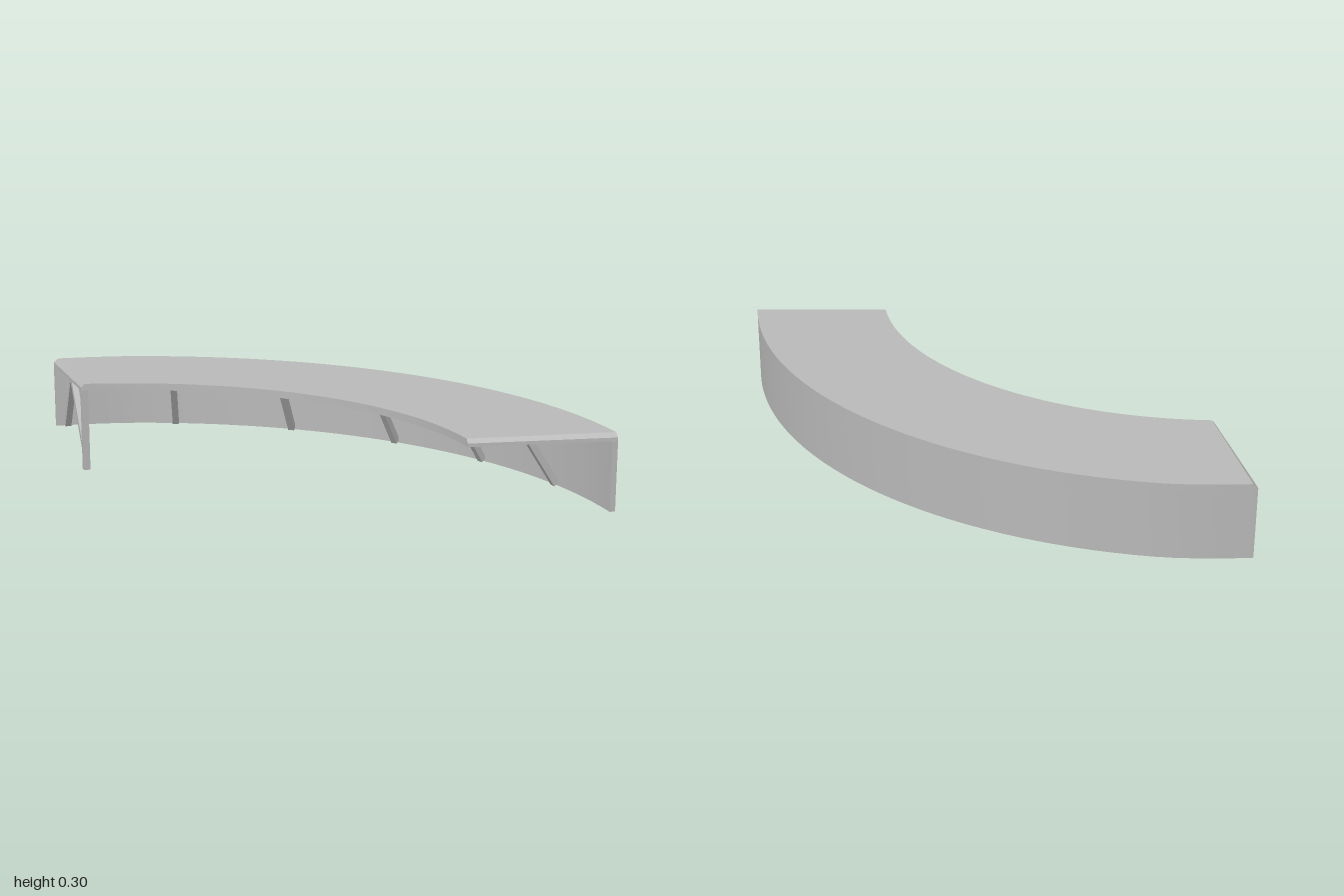
import * as THREE from 'three';
import { toCreasedNormals } from 'three/addons/utils/BufferGeometryUtils.js';

const CENTRE = { x: -0.48, z: 1.045 };
const rad = THREE.MathUtils.degToRad;
const lerp = THREE.MathUtils.lerp;

// Point on the plan arc, angle measured from straight back (-z) towards +x
const polar = (r, a, y) =>
  new THREE.Vector3(CENTRE.x + r * Math.sin(a), y, CENTRE.z - r * Math.cos(a));

// The two curved edges of the counter, t runs from its right end to its left end
const innerAt = (t, y) => polar(1.145, rad(lerp(-15.8, 64.2, t)), y);
function outerAt(t, y, inset = 0) {
  const deg = lerp(-19, 66.8, t);
  const flat = 0.015 * Math.max(0, (-9.5 - deg) / 9.5); // the curve straightens at one end
  return polar(1.61 - flat - inset, rad(deg), y);
}

// Closed sweep through four-cornered sections
function sweep(sections) {
  const pos = [];
  const tri = (...pts) => pts.forEach((p) => pos.push(p.x, p.y, p.z));
  const quad = (a, b, c, d) => { tri(a, b, c); tri(a, c, d); };
  for (let i = 0; i < sections.length - 1; i++) {
    const s = sections[i], n = sections[i + 1];
    for (let k = 0; k < 4; k++) quad(s[k], s[(k + 1) % 4], n[(k + 1) % 4], n[k]);
  }
  const first = sections[0], last = sections[sections.length - 1];
  quad(first[3], first[2], first[1], first[0]);
  quad(last[0], last[1], last[2], last[3]);
  const geo = new THREE.BufferGeometry();
  geo.setAttribute('position', new THREE.Float32BufferAttribute(pos, 3));
  return toCreasedNormals(geo, rad(25));
}

// Square bar between two points
function bar(name, from, to, width, material) {
  const mesh = new THREE.Mesh(new THREE.BoxGeometry(width, width, from.distanceTo(to)), material);
  mesh.name = name;
  mesh.position.copy(from).add(to).multiplyScalar(0.5);
  mesh.lookAt(to);
  return mesh;
}

export function createModel() {
  const model = new THREE.Group();
  model.name = 'curvedCounter';
  const grey = new THREE.MeshStandardMaterial({ color: 0xb8b8b8 });
  grey.name = 'grey';

  const STEPS = 40, UNDER = 0.28, TOP = 0.304, BEVEL = 0.0065;
  const stations = [0, BEVEL];
  for (let i = 1; i < STEPS; i++) stations.push(i / STEPS);
  stations.push(1 - BEVEL, 1);

  // Curved counter top with bevelled ends
  const top = new THREE.Mesh(sweep(stations.map((t) => {
    const y = t === 0 || t === 1 ? 0.291 : TOP;
    return [innerAt(t, UNDER), outerAt(t, UNDER), outerAt(t, y), innerAt(t, y)];
  })), grey);
  top.name = 'counterTop';
  model.add(top);

  // Curved apron hanging from the outer edge
  const apron = new THREE.Mesh(sweep(stations.map((t) => [
    outerAt(t, 0.057, 0.018), outerAt(t, 0.057), outerAt(t, UNDER), outerAt(t, UNDER, 0.018),
  ])), grey);
  apron.name = 'backApron';
  model.add(apron);

  // Diagonal brackets from the apron foot to the underside of the top
  for (const t of [0.018, 0.185, 0.37, 0.545, 0.705, 0.86]) {
    const foot = outerAt(t, 0.062, 0.022);
    const inward = innerAt(t, 0.062).sub(foot).normalize();
    const head = foot.clone().addScaledVector(inward, 0.145).setY(UNDER);
    model.add(bar('bracket', foot, head, 0.022, grey));
  }

  // Single leg at the inner corner, with its brace along the end edge
  const corner = innerAt(0.008, 0);
  const along = outerAt(0.008, 0).sub(corner).normalize();
  const legFoot = corner.clone().addScaledVector(along, 0.015);
  const leg = new THREE.Mesh(new THREE.BoxGeometry(0.022, UNDER, 0.026), grey);
  leg.name = 'leg';
  leg.position.copy(legFoot).setY(UNDER / 2);
  leg.rotation.y = Math.atan2(along.x, along.z);
  model.add(leg);
  const braceTop = legFoot.clone().addScaledVector(along, 0.18).setY(UNDER);
  model.add(bar('legBrace', legFoot.clone().setY(0.06), braceTop, 0.02, grey));

  return model;
}
